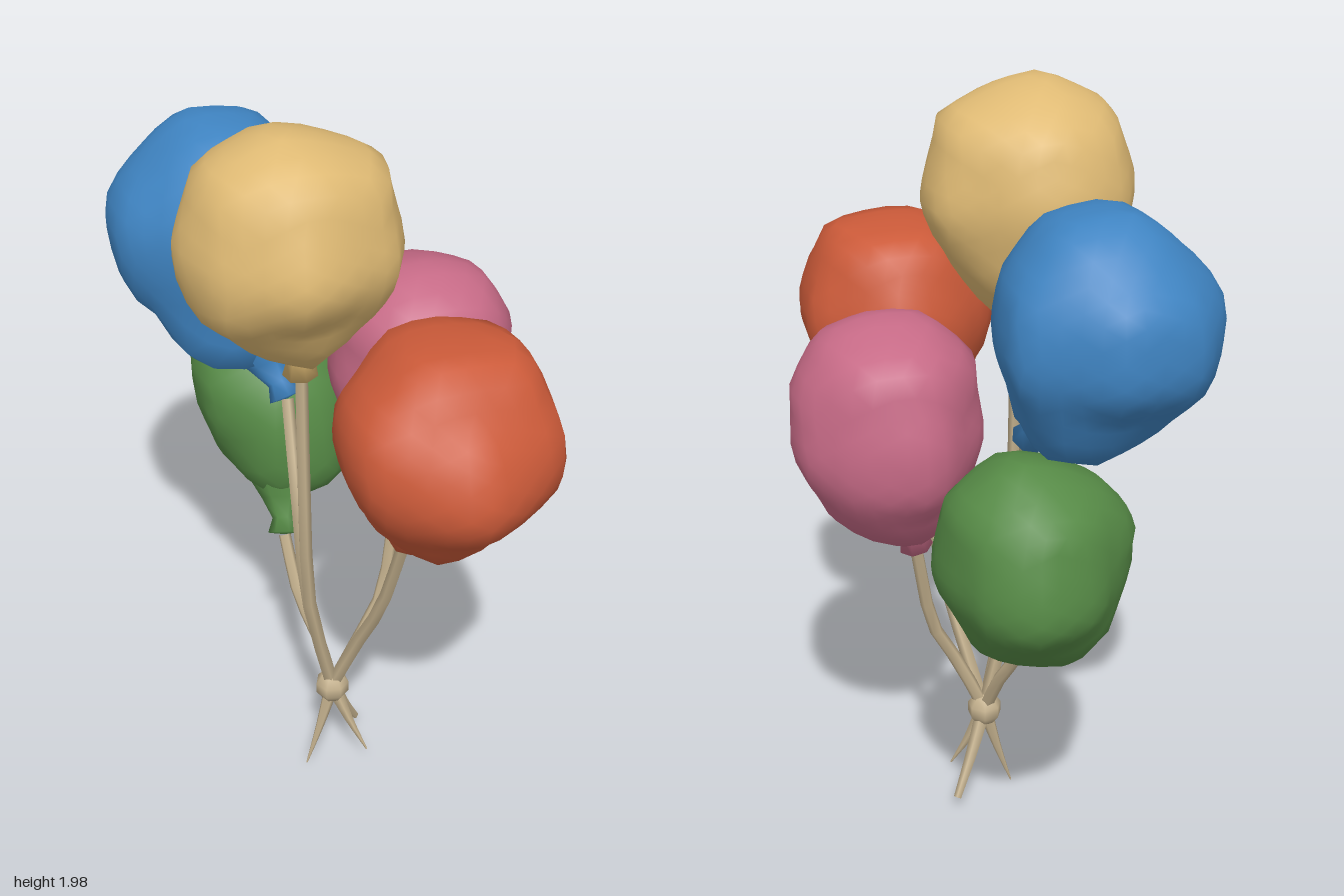
import * as THREE from 'three';
import { mergeVertices } from 'three/addons/utils/BufferGeometryUtils.js';

const V = (x, y, z) => new THREE.Vector3(x, y, z);
const paint = (name, color) => Object.assign(new THREE.MeshStandardMaterial({ color }), { name });

// Each balloon: centre, mouth, string bends (top down) and three outlines,
// front as x,y pairs, side as z,y pairs, top as x,z pairs
const yellow = {
  name: 'yellow', color: 0xdfba74, center: [-0.17, 1.7, 0.12], mouth: [-0.14, 1.34, 0.09],
  bends: [[-0.14, 0.95, 0.1], [-0.12, 0.62, 0.07]],
  front: [-0.21, 2, 0.05, 1.91, 0.105, 1.69, 0.02, 1.53, -0.13, 1.35, -0.41, 1.57, -0.445, 1.7, -0.445, 1.755, -0.38, 1.92],
  side: [0.15, 2, 0.015, 1.965, -0.1, 1.89, -0.145, 1.72, -0.09, 1.5, 0.09, 1.36, 0.25, 1.53, 0.385, 1.69, 0.3, 1.94],
  top: [-0.245, -0.15, -0.105, -0.13, 0.09, 0.01, 0.1, 0.13, 0.03, 0.29, -0.21, 0.38, -0.385, 0.27, -0.445, 0.1, -0.375, -0.07],
};
const blue = {
  name: 'blue', color: 0x3f84c2, center: [-0.21, 1.52, -0.41], mouth: [-0.11, 1.14, -0.12],
  bends: [[-0.13, 0.9, 0.01], [-0.11, 0.6, 0.02]],
  front: [-0.25, 1.82, -0.08, 1.8, 0.05, 1.66, 0.06, 1.5, -0.05, 1.22, -0.18, 1.17, -0.455, 1.39, -0.49, 1.6, -0.43, 1.68],
  side: [-0.27, 1.81, -0.48, 1.82, -0.675, 1.64, -0.675, 1.47, -0.475, 1.26, -0.35, 1.2, -0.15, 1.18, -0.1, 1.55, -0.1, 1.64],
  top: [-0.165, -0.68, 0.06, -0.54, 0.03, -0.27, -0.02, -0.15, -0.09, -0.12, -0.305, -0.11, -0.49, -0.305, -0.47, -0.48, -0.37, -0.64],
};
const red = {
  name: 'red', color: 0xcb5a39, center: [0.1, 1.3, 0.43], mouth: [0.06, 0.93, 0.29],
  bends: [[0.04, 0.65, 0.185], [0.01, 0.48, 0.1]],
  front: [0, 1.57, 0.27, 1.56, 0.325, 1.46, 0.36, 1.36, 0.35, 1.29, 0.17, 0.99, 0.06, 0.94, -0.09, 1.13, -0.17, 1.37, -0.15, 1.44],
  side: [0.53, 1.57, 0.28, 1.565, 0.235, 1.52, 0.155, 1.32, 0.18, 1.21, 0.285, 0.95, 0.5, 1.05, 0.66, 1.17, 0.72, 1.255],
  top: [0.135, 0.145, 0.37, 0.305, 0.34, 0.6, 0.09, 0.72, -0.15, 0.58, -0.18, 0.49, -0.15, 0.32, -0.02, 0.21],
};
const pink = {
  name: 'pink', color: 0xc66a86, center: [0.24, 1.18, -0.08], mouth: [0.155, 0.82, -0.02],
  bends: [[0.1, 0.55, 0.02], [0.03, 0.42, 0.03]],
  front: [0.15, 1.49, 0.27, 1.49, 0.39, 1.45, 0.485, 1.325, 0.48, 1.18, 0.4, 1, 0.19, 0.87, 0.08, 0.95, 0, 1.2, 0.02, 1.38],
  side: [-0.065, 1.5, -0.285, 1.43, -0.34, 1.235, -0.33, 1.1, -0.19, 0.92, -0.06, 0.84, 0.125, 1.01, 0.175, 1.16, 0.145, 1.3, 0.075, 1.43],
  top: [0.165, -0.35, 0.365, -0.295, 0.475, -0.2, 0.485, -0.105, 0.4, 0.12, 0.175, 0.17, 0.12, 0.145, -0.005, -0.055, 0.01, -0.17],
};
const green = {
  name: 'green', color: 0x568a46, center: [-0.02, 0.98, -0.46], mouth: [-0.1, 0.65, -0.2],
  bends: [[-0.09, 0.5, -0.11], [-0.06, 0.4, -0.05]],
  front: [0.03, 1.27, -0.19, 1.18, -0.28, 1.09, -0.215, 0.81, -0.11, 0.7, 0.12, 0.78, 0.21, 0.95, 0.19, 1.15],
  side: [-0.5, 1.27, -0.665, 1.155, -0.72, 0.925, -0.52, 0.715, -0.26, 0.7, -0.19, 0.8, -0.19, 0.92, -0.28, 1.1, -0.335, 1.22],
  top: [-0.13, -0.66, 0.04, -0.725, 0.15, -0.63, 0.22, -0.395, 0.06, -0.25, -0.1, -0.19, -0.27, -0.35, -0.27, -0.5],
};

// Distance from (cu, cv) to an outline along direction (du, dv)
function outlineRadius(outline, cu, cv, du, dv) {
  const n = outline.length;
  let best = 0;
  for (let i = 0; i < n; i += 2) {
    const au = outline[i] - cu, av = outline[i + 1] - cv;
    const eu = outline[(i + 2) % n] - cu - au, ev = outline[(i + 3) % n] - cv - av;
    const det = du * ev - dv * eu;
    if (Math.abs(det) < 1e-9) continue;
    const along = (au * dv - av * du) / det;
    const dist = (au * ev - av * eu) / det;
    if (along >= -1e-6 && along <= 1 + 1e-6) best = Math.max(best, dist);
  }
  return best;
}

// Ball whose radius blends the three outlines, favouring the plane each direction lies in
function bodyGeometry({ center: [cx, cy, cz], front, side, top }) {
  let geo = new THREE.IcosahedronGeometry(1, 5);
  geo.deleteAttribute('uv');
  geo.deleteAttribute('normal');
  geo = mergeVertices(geo, 1e-4);
  const pos = geo.attributes.position, d = V(0, 0, 0);
  for (let i = 0; i < pos.count; i++) {
    d.fromBufferAttribute(pos, i).normalize();
    const planes = [[front, cx, cy, d.x, d.y], [side, cz, cy, d.z, d.y], [top, cx, cz, d.x, d.z]];
    let sum = 0, total = 0;
    for (const [outline, cu, cv, du, dv] of planes) {
      const length = Math.hypot(du, dv);
      if (length < 1e-4) continue;
      const weight = length ** 8;
      sum += weight * outlineRadius(outline, cu, cv, du / length, dv / length);
      total += weight;
    }
    d.multiplyScalar(sum / total);
    pos.setXYZ(i, cx + d.x, cy + d.y, cz + d.z);
  }
  geo.computeVertexNormals();
  return geo;
}

// Flared neck that runs from the mouth into the balloon
function neckGeometry({ center, mouth }) {
  const profile = [[0, 0], [0.045, 0.005], [0.032, 0.045], [0.06, 0.1], [0.09, 0.15]];
  const geo = new THREE.LatheGeometry(profile.map(([r, h]) => new THREE.Vector2(r, h)), 7);
  const axis = V(...center).sub(V(...mouth)).normalize();
  geo.applyQuaternion(new THREE.Quaternion().setFromUnitVectors(V(0, 1, 0), axis));
  return geo.translate(...mouth);
}

// Five-sided tube with a linear taper towards its end
function stringGeometry(points, radius, endScale) {
  const curve = new THREE.CatmullRomCurve3(points);
  const rings = 6, sides = 5;
  const geo = new THREE.TubeGeometry(curve, rings, radius, sides);
  const pos = geo.attributes.position, p = V(0, 0, 0);
  for (let i = 0; i < pos.count; i++) {
    const t = Math.floor(i / (sides + 1)) / rings;
    const c = curve.getPointAt(t);
    p.fromBufferAttribute(pos, i).sub(c).multiplyScalar(1 + (endScale - 1) * t).add(c);
    pos.setXYZ(i, p.x, p.y, p.z);
  }
  return geo;
}

export function createModel() {
  const group = new THREE.Group();
  group.name = 'balloonBunch';
  const twine = paint('twine', 0xc3b08d);
  const add = (name, geo, mat) => {
    const mesh = new THREE.Mesh(geo, mat);
    mesh.name = name;
    group.add(mesh);
    return mesh;
  };
  const knotPos = V(-0.04, 0.27, 0.02);

  // Balloons, each with a neck and a string running down to the knot
  for (const b of [yellow, blue, red, pink, green]) {
    const rubber = paint(b.name, b.color);
    add(b.name + 'Balloon', bodyGeometry(b), rubber);
    add(b.name + 'Neck', neckGeometry(b), rubber);
    const path = [b.mouth, ...b.bends].map((q) => V(...q)).reverse();
    add(b.name + 'String', stringGeometry([knotPos, ...path], 0.019, 0.9), twine);
  }

  // Knot that gathers the strings
  const knot = add('knot', new THREE.SphereGeometry(0.048, 7, 5), twine);
  knot.position.copy(knotPos);

  // Loose pointed tails below the knot
  const tails = [[-0.12, 0.01, 0.03], [0.06, 0.05, -0.07], [0.04, 0.06, 0.085]];
  tails.forEach((end, i) => {
    const tip = V(...end);
    const mid = knotPos.clone().lerp(tip, 0.5).add(V(0, -0.01, 0));
    add('tail' + (i + 1), stringGeometry([knotPos, mid, tip], 0.022, i === 1 ? 0.5 : 0.1), twine);
  });
  return group;
}
